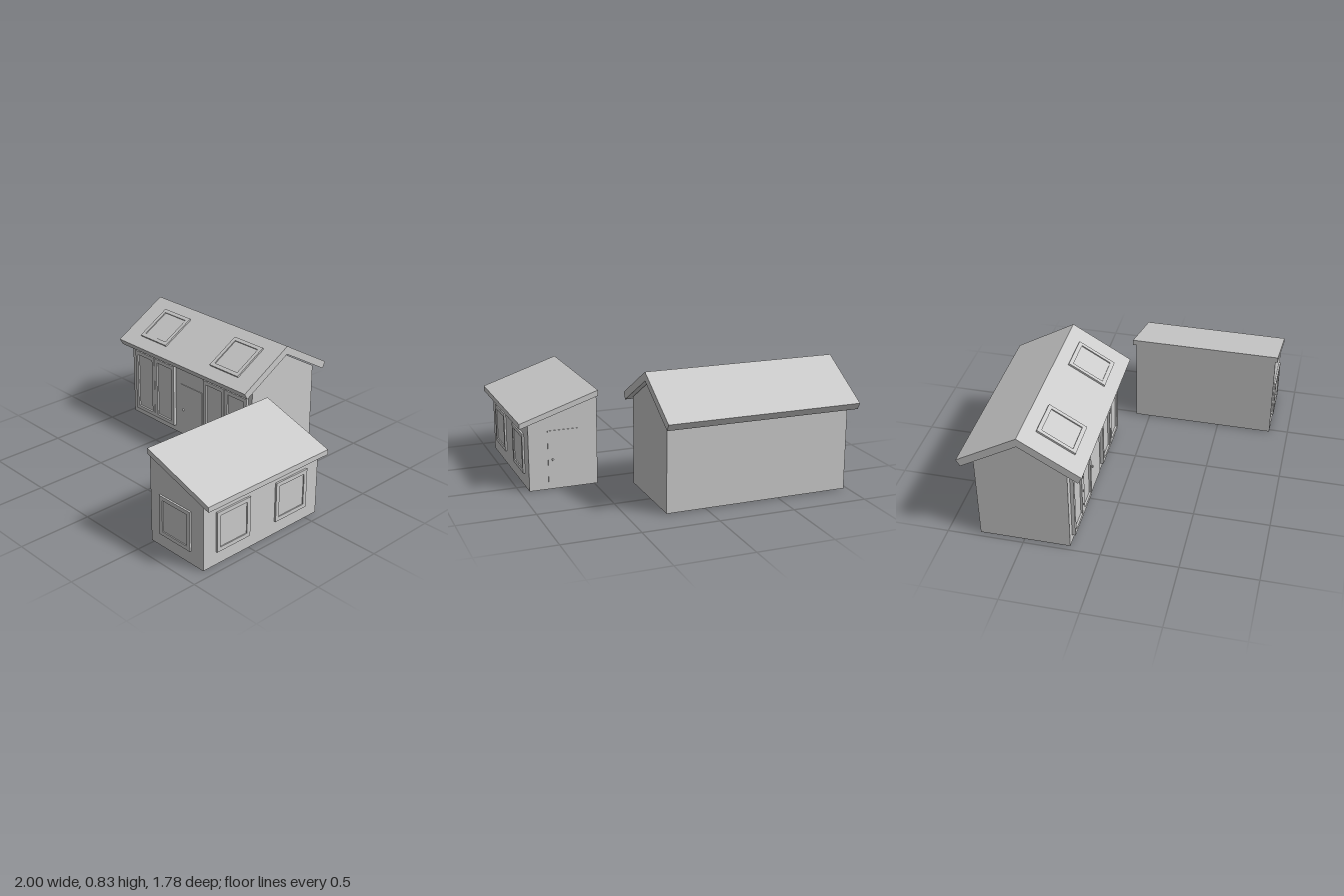
import * as THREE from 'three';

const grey = new THREE.MeshStandardMaterial({ color: 0xcccccc, flatShading: true });

function mesh(name, geometry) {
  const m = new THREE.Mesh(geometry, grey);
  m.name = name;
  return m;
}

const polygon = (points) => new THREE.Shape(points.map(([x, y]) => new THREE.Vector2(x, y)));

// Prism with an (x, y) profile running from z0 to z1
function prism(name, points, z0, z1) {
  const g = new THREE.ExtrudeGeometry(polygon(points), { depth: z1 - z0, bevelEnabled: false });
  return mesh(name, g.translate(0, 0, z0));
}

// Framed, recessed pane centred on the origin, back on z = 0, facing +z
function windowUnit(name, w, h, depth, border = 0.027) {
  const group = new THREE.Group();
  group.name = name;
  const rect = (a, b) => [[-a / 2, -b / 2], [a / 2, -b / 2], [a / 2, b / 2], [-a / 2, b / 2]];
  const shape = polygon(rect(w, h));
  const iw = w - 2 * border, ih = h - 2 * border;
  shape.holes.push(new THREE.Path(rect(iw, ih).reverse().map(([x, y]) => new THREE.Vector2(x, y))));
  group.add(mesh('windowFrame', new THREE.ExtrudeGeometry(shape, { depth, bevelEnabled: false })));
  const pane = mesh('windowPane', new THREE.BoxGeometry(iw, ih, depth * 0.4));
  pane.position.z = depth * 0.2;
  group.add(pane);
  return group;
}

// Door standing on y = 0 with a small round handle, facing +z
function door(name) {
  const group = new THREE.Group();
  group.name = name;
  const leaf = mesh('doorLeaf', new THREE.BoxGeometry(0.22, 0.39, 0.006));
  leaf.position.set(0, 0.2, 0.001);
  const knob = mesh('doorHandle', new THREE.SphereGeometry(0.008, 10, 8));
  knob.position.set(-0.08, 0.2, 0.007);
  group.add(leaf, knob);
  return group;
}

function createHouse() {
  const house = new THREE.Group();
  house.name = 'house';
  const ridgeZ = -0.495, slope = Math.PI / 6, tan = Math.tan(slope);

  // Gabled walls and roof: profiles across z, extruded along x
  const walls = prism('houseWalls',
    [[-0.295, 0.005], [0.295, 0.005], [0.295, 0.593], [0, 0.765], [-0.295, 0.593]], -0.97, 0.262);
  const roof = prism('houseRoof',
    [[0, 0.83], [-0.395, 0.602], [-0.37, 0.558], [0, 0.772], [0.37, 0.558], [0.395, 0.602]], -1, 0.29);
  for (const part of [walls, roof]) {
    part.rotation.y = Math.PI / 2;
    part.position.z = ridgeZ;
    house.add(part);
  }

  // Two pairs of tall windows with the door between them
  for (const x of [-0.815, -0.605, -0.09, 0.125]) {
    const w = windowUnit('tallWindow', 0.208, 0.465, 0.022);
    w.position.set(x, 0.285, -0.2);
    house.add(w);
  }
  const frontDoor = door('houseDoor');
  frontDoor.position.set(-0.335, 0.005, -0.2);
  house.add(frontDoor);

  // Skylights lying on the front slope
  for (const x of [-0.715, 0.01]) {
    const w = windowUnit('skylight', 0.27, 0.275, 0.012);
    const z = -0.3;
    w.position.set(x, 0.83 - (z - ridgeZ) * tan, z);
    w.rotation.x = slope - Math.PI / 2;
    house.add(w);
  }
  return house;
}

function createShed() {
  const shed = new THREE.Group();
  shed.name = 'shed';

  // Lean-to walls and the sloping roof slab
  shed.add(prism('shedWalls', [[0.478, 0], [0.938, 0], [0.938, 0.448], [0.478, 0.6]], -0.1, 0.872));
  shed.add(prism('shedRoof', [[0.473, 0.6], [0.998, 0.43], [0.998, 0.465], [0.473, 0.638]], -0.123, 0.887));

  // One front window and two on the low side
  const front = windowUnit('shedFrontWindow', 0.27, 0.27, 0.012);
  front.position.set(0.7, 0.224, 0.872);
  shed.add(front);
  for (const z of [0.635, 0.143]) {
    const side = windowUnit('shedSideWindow', 0.272, 0.27, 0.012);
    side.position.set(0.938, 0.224, z);
    side.rotation.y = Math.PI / 2;
    shed.add(side);
  }

  // Back door
  const back = door('shedDoor');
  back.position.set(0.7, 0, -0.1);
  back.rotation.y = Math.PI;
  back.children[1].position.x = -0.08;
  shed.add(back);
  return shed;
}

export function createModel() {
  const model = new THREE.Group();
  model.name = 'houseAndShed';
  model.add(createHouse(), createShed());
  return model;
}
